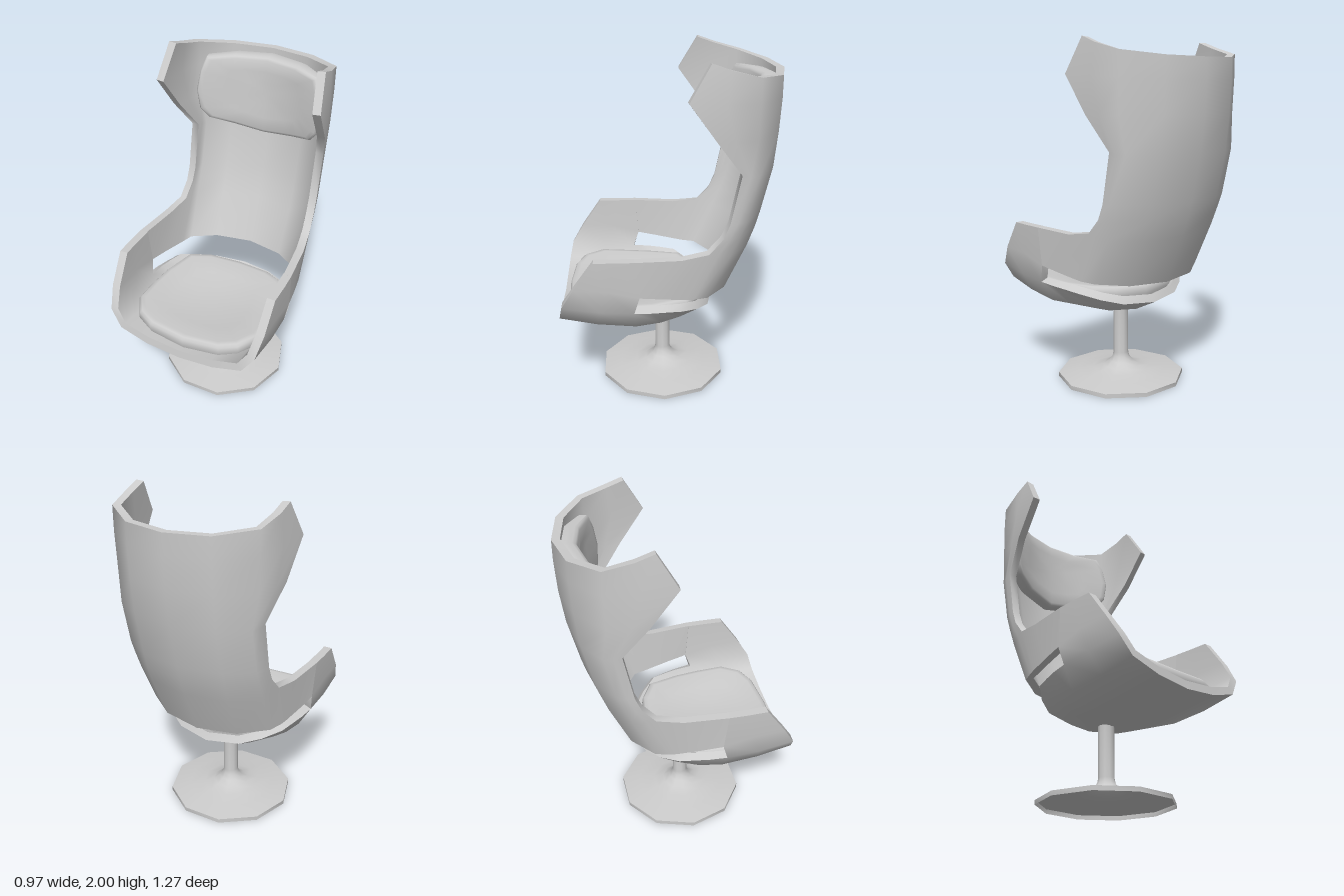
import * as THREE from 'three';
import { toCreasedNormals } from 'three/addons/utils/BufferGeometryUtils.js';

const grey = new THREE.MeshStandardMaterial({ color: 0xcccccc });
const greyOpen = new THREE.MeshStandardMaterial({ color: 0xcccccc, side: THREE.DoubleSide });

function addQuad(out, a, b, c, d) {
  for (const t of [[a, b, c], [a, c, d]]) {
    const n = t[1].clone().sub(t[0]).cross(t[2].clone().sub(t[0]));
    if (n.length() > 1e-9) t.forEach(p => out.push(p.x, p.y, p.z));
  }
}

function toMesh(name, positions, crease) {
  const g = new THREE.BufferGeometry();
  g.setAttribute('position', new THREE.Float32BufferAttribute(positions, 3));
  const mesh = new THREE.Mesh(toCreasedNormals(g, crease), grey);
  mesh.name = name;
  return mesh;
}

// Thick mirrored sheet. Each row runs from the centre line outwards to the
// left side; cells with a missing corner stay open, open borders get a rim.
function sheet(name, rows, thickness) {
  const w = Math.max(...rows.map(r => r.length)) - 1;
  const grid = rows.map(r => {
    const line = [];
    for (let j = -w; j <= w; j++) {
      const p = r[Math.abs(j)];
      line.push(p ? { o: new THREE.Vector3(Math.sign(j) * p[0], p[1], p[2]), n: new THREE.Vector3() } : null);
    }
    return line;
  });
  const cell = (i, j) => {
    const a = grid[i]?.[j], b = grid[i]?.[j + 1], c = grid[i + 1]?.[j + 1], d = grid[i + 1]?.[j];
    return a && b && c && d ? [a, b, c, d] : null;
  };
  const eachCell = fn => {
    for (let i = 0; i < rows.length - 1; i++)
      for (let j = 0; j < 2 * w; j++) { const q = cell(i, j); if (q) fn(q, i, j); }
  };
  eachCell(q => {
    const n = q[2].o.clone().sub(q[0].o).cross(q[3].o.clone().sub(q[1].o)).normalize();
    q.forEach(v => v.n.add(n));
  });
  grid.flat().forEach(v => { if (v) v.in = v.o.clone().addScaledVector(v.n.normalize(), -thickness); });
  const out = [];
  eachCell((q, i, j) => {
    const [a, b, c, d] = q;
    addQuad(out, a.o, b.o, c.o, d.o);
    addQuad(out, d.in, c.in, b.in, a.in);
    [[i - 1, j], [i, j + 1], [i + 1, j], [i, j - 1]].forEach(([ni, nj], k) => {
      const s = q[k], e = q[(k + 1) % 4];
      if (!cell(ni, nj)) addQuad(out, e.o, s.o, s.in, e.in);
    });
  });
  return toMesh(name, out, 0.9);
}

// Padded cushion: mirrored outline swept through shrinking rings, bent by place(u, v, h)
function cushion(name, half, centreV, rings, place) {
  const loop = [...half, ...half.slice(1, -1).reverse().map(([u, v]) => [-u, v])];
  const pts = rings.map(([s, h]) => loop.map(([u, v]) => place(u * s, centreV + (v - centreV) * s, h)));
  const out = [], n = loop.length;
  for (let k = 0; k < rings.length - 1; k++)
    for (let j = 0; j < n; j++) {
      const m = (j + 1) % n;
      addQuad(out, pts[k][j], pts[k][m], pts[k + 1][m], pts[k + 1][j]);
    }
  return toMesh(name, out, 1.0);
}

export function createModel() {
  const group = new THREE.Group();

  // Backrest with head wings, running into the rear of the arms (top to bottom)
  group.add(sheet('backrestAndArms', [
    [[0, 1.895, -.633], [.245, 1.9, -.585], [.43, 1.925, -.445], [.455, 1.965, -.29], [.457, 2, -.19]],
    [[0, 1.78, -.634], [.245, 1.78, -.585], [.43, 1.79, -.445], [.468, 1.8, -.27], [.485, 1.81, -.08]],
    [[0, 1.6, -.625], [.245, 1.6, -.575], [.425, 1.6, -.44], [.457, 1.6, -.32], [.47, 1.6, -.23]],
    [[0, 1.4, -.6], [.245, 1.4, -.555], [.4, 1.4, -.46], [.42, 1.405, -.41], [.425, 1.415, -.365]],
    [[0, 1.14, -.54], [.245, 1.14, -.495], [.4, 1.14, -.4], [.42, 1.14, -.35], [.425, 1.14, -.31]],
    [[0, 1.05, -.515], [.245, 1.05, -.47], [.4, 1.05, -.365], [.42, 1.05, -.31], [.427, 1.055, -.275]],
    [[0, .94, -.475], [.245, .94, -.43], [.4, .945, -.32], [.42, .955, -.25], [.435, .97, -.2],
      [.46, .95, -.05], [.485, .955, .2]],
    [[0, .665, -.36], [.235, .67, -.31], [.39, .685, -.2], [.42, .69, -.12], [.43, .695, -.08],
      [.455, .715, .05], [.475, .735, .18]],
  ], .045));

  // Seat pan rising into the front of the arms (rear to front)
  group.add(sheet('seatPanAndArmFronts', [
    [[0, .525, -.26], [.2, .54, -.22], [.31, .57, -.15], [.4, .605, -.06]],
    [[0, .447, -.1], [.2, .475, -.09], [.34, .54, -.05], [.425, .615, .03]],
    [[0, .437, .02], [.2, .462, .02], [.37, .52, .06], [.445, .622, .11]],
    [[0, .435, .2], [.2, .455, .2], [.39, .51, .2], [.46, .63, .21], [.475, .735, .18], [.485, .955, .2]],
    [[0, .465, .42], [.2, .485, .42], [.39, .53, .42], [.465, .645, .4], [.48, .78, .36], [.487, .955, .3]],
    [[0, .5, .635], [.21, .52, .635], [.385, .57, .63], [.455, .67, .61], [.478, .79, .54], [.485, .955, .425]],
  ], .048));

  const padRings = [[0, -.02], [.96, -.02], [1, .02], [.99, .055], [.96, .072], [.9, .08], [.6, .084], [.3, .085], [0, .085]];

  // Head cushion, bent to the curve of the backrest
  group.add(cushion('headCushion', [
    [0, 1.39], [.2, 1.425], [.33, 1.465], [.375, 1.53], [.392, 1.65], [.375, 1.77], [.345, 1.85], [.2, 1.862], [0, 1.868],
  ], 1.65, padRings, (u, v, h) => new THREE.Vector3(u, v, -.568 - .06 * (v - 1.6) + u * u + h)));

  // Seat cushion, dished like the pan
  group.add(cushion('seatCushion', [
    [0, -.597], [.22, -.578], [.32, -.53], [.39, -.42], [.395, -.25], [.38, -.1], [.325, .09], [.205, .16], [0, .187],
  ], -.2, padRings, (u, v, h) => new THREE.Vector3(u, .5 + .4 * u * u + .3 * (v + .2) ** 2 + h, -v)));

  // Ten-sided trumpet foot and column, hollow underneath
  const profile = [[.38, 0], [.38, .025], [.27, .042], [.17, .055], [.11, .07], [.07, .095], [.05, .125], [.045, .15], [.045, .46]]
    .map(([r, y]) => new THREE.Vector2(r, y));
  const lathe = new THREE.LatheGeometry(profile, 10, Math.PI / 2);
  const pedestal = new THREE.Mesh(toCreasedNormals(lathe, .75), greyOpen);
  pedestal.name = 'pedestal';
  pedestal.position.z = .04;
  group.add(pedestal);

  return group;
}
